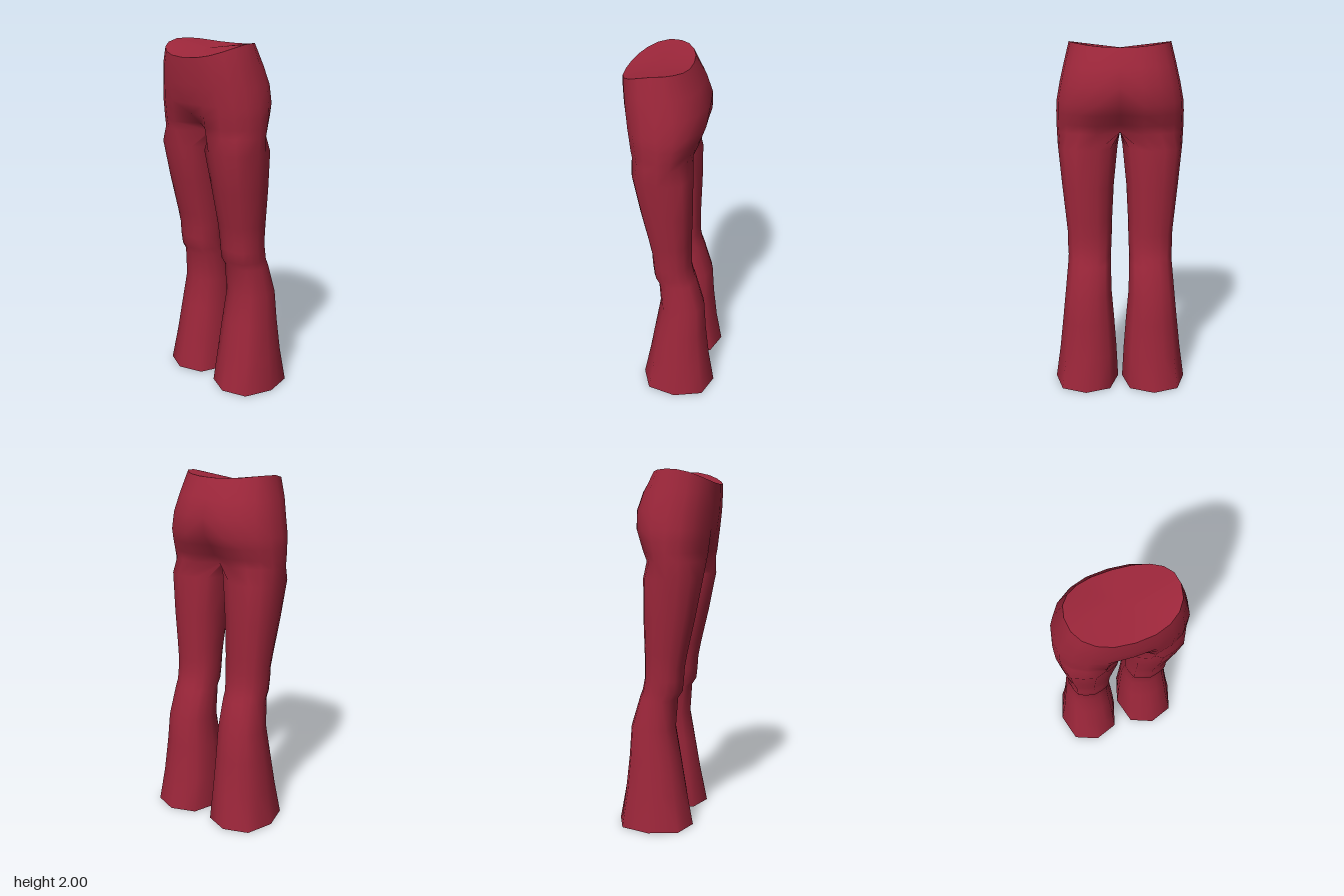
import * as THREE from 'three';
import { mergeVertices } from 'three/addons/utils/BufferGeometryUtils.js';

// Hip levels: y, half width, side z, front z, back z, centre front z, centre back z
const HIPS = [
  [2.00, 0.285, 0.08, 0.27, -0.095, 0.27, -0.095],
  [1.88, 0.315, 0.07, 0.27, -0.155, 0.27, -0.155],
  [1.78, 0.338, 0.05, 0.265, -0.19, 0.265, -0.19],
  [1.68, 0.357, 0.045, 0.253, -0.19, 0.25, -0.178],
  [1.62, 0.360, 0.04, 0.245, -0.167, 0.215, -0.125],
  [1.56, 0.360, 0.04, 0.238, -0.145, 0.15, -0.085],
  [1.51, 0.359, 0.04, 0.228, -0.122, 0.085, -0.045],
];

// Leg levels: y, inner x, outer x, front z, back z
const LEGS = [
  [1.42, 0.014, 0.356, 0.213, -0.125],
  [1.20, 0.036, 0.335, 0.17, -0.125],
  [1.00, 0.046, 0.314, 0.125, -0.12],
  [0.92, 0.048, 0.306, 0.11, -0.12],
  [0.85, 0.050, 0.306, 0.105, -0.121],
  [0.78, 0.054, 0.302, 0.098, -0.135],
  [0.74, 0.054, 0.304, 0.072, -0.15],
  [0.57, 0.050, 0.320, 0.06, -0.20],
  [0.40, 0.036, 0.338, 0.09, -0.212],
  [0.20, 0.022, 0.360, 0.125, -0.235],
  [0.00, 0.012, 0.388, 0.165, -0.27],
];

// Half ring of 11 points from centre front round the side to centre back
function hipRing([y, w, zc, f, b, cf, cb], k) {
  const ring = [];
  for (let i = 0; i <= 10; i++) {
    const a = Math.PI / 2 - (i * Math.PI) / 10;
    const c = Math.abs(Math.cos(a)) ** 0.87, s = Math.abs(Math.sin(a)) ** 0.87;
    let x = w * c, z = zc + (i < 5 ? f - zc : b - zc) * s;
    if (i === 0) { x = 0; z = cf; }
    if (i === 10) { x = 0; z = cb; }
    // the waistline dips at the front and a little at the back
    const py = k === 0 ? 2.002 - 1.35 * (z - 0.03) ** 2 : y;
    ring.push([x, Math.min(py, 2), z]);
  }
  return ring;
}

// Closed ring of 16 points: an octagon with softened edge midpoints
function legRing([y, xi, xo, f, b]) {
  const corners = [[1, 0], [0.75, 0.75], [0, 1], [-0.75, 0.75], [-1, 0], [-0.75, -0.75], [0, -1], [0.75, -0.75]];
  const soft = y > 0 ? 1.03 : 1;
  const ring = [];
  for (let i = 0; i < 16; i++) {
    const step = (5 - i + 16) % 16;
    const p = corners[step >> 1], q = corners[((step + 1) >> 1) % 8];
    const k = step % 2 ? soft / 2 : 0.5;
    ring.push([
      (xi + xo) / 2 + ((xo - xi) / 2) * (p[0] + q[0]) * k, y,
      (f + b) / 2 + ((f - b) / 2) * (p[1] + q[1]) * k,
    ]);
  }
  return ring;
}

// Geometry from triangles, welded for smooth normals
function toGeometry(tris) {
  const g = new THREE.BufferGeometry();
  g.setAttribute('position', new THREE.Float32BufferAttribute(tris.flat(2), 3));
  const welded = mergeVertices(g, 1e-4);
  welded.computeVertexNormals();
  return welded;
}

// Skin between consecutive rings, listed from top to bottom
function loft(rings, closed, tris) {
  for (let k = 0; k < rings.length - 1; k++) {
    const A = rings[k], B = rings[k + 1], n = A.length;
    for (let i = 0; i < (closed ? n : n - 1); i++) {
      const j = (i + 1) % n;
      tris.push([A[i], B[i], A[j]], [A[j], B[i], B[j]]);
    }
  }
}

// Fan of triangles that closes a ring
function fan(ring, centre) {
  return ring.map((p, i) => [centre, p, ring[(i + 1) % ring.length]]);
}

const mirrorPoint = ([x, y, z]) => [x === 0 ? 0 : -x, y, z];
const flip = (tris) => tris.map(([a, b, c]) => [a, c, b]);
const mirror = (tris) => flip(tris.map((t) => t.map(mirrorPoint)));

export function createModel() {
  const model = new THREE.Group();
  model.name = 'trousers';
  const cloth = new THREE.MeshStandardMaterial({ color: 0x9c263a });
  cloth.name = 'crimson cloth';
  const add = (name, tris) => {
    const mesh = new THREE.Mesh(toGeometry(tris), cloth);
    mesh.name = name;
    model.add(mesh);
  };

  // Hips, then a crotch seam that closes the top ring of each leg
  const hips = HIPS.map(hipRing);
  const fork = hips[hips.length - 1];
  const seam = [1, 2, 3, 4, 5].map((i) => [0, 1.505, THREE.MathUtils.lerp(fork[10][2], fork[0][2], i / 6)]);
  const legs = [[...fork, ...seam], ...LEGS.map(legRing)];
  const half = [];
  loft(hips, false, half);
  loft(legs, true, half);
  add('hipsAndLegs', [...half, ...mirror(half)]);

  // Closed waist opening
  const waist = [...hips[0], ...hips[0].slice(1, 10).reverse().map(mirrorPoint)];
  add('waistCap', fan(waist, [0, 1.965, 0.08]));

  // Closed hems
  const hem = legs[legs.length - 1];
  const hemCap = flip(fan(hem, [0.2, 0, -0.0525]));
  add('leftHemCap', hemCap);
  add('rightHemCap', mirror(hemCap));
  return model;
}
